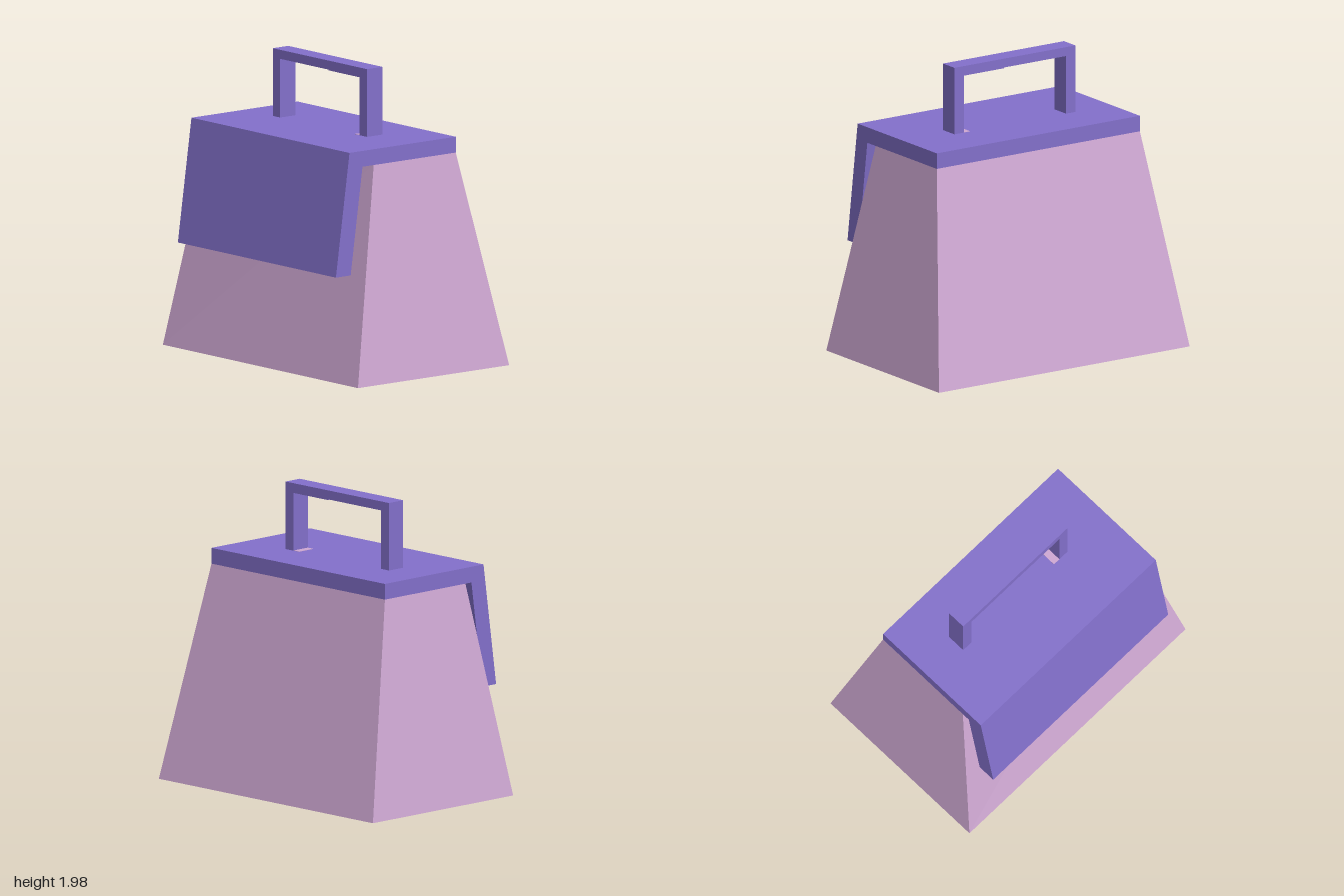
import * as THREE from 'three';

const pink = new THREE.MeshStandardMaterial({ color: 0xcfa8d3, flatShading: true });
const purple = new THREE.MeshStandardMaterial({ color: 0x8370cb, flatShading: true });

function part(name, geometry, material) {
  const mesh = new THREE.Mesh(geometry, material);
  mesh.name = name;
  return mesh;
}

// Straight extrusion of a polygon outline
function extrude(points, depth) {
  const shape = new THREE.Shape(points.map(([a, b]) => new THREE.Vector2(a, b)));
  return new THREE.ExtrudeGeometry(shape, { depth, bevelEnabled: false });
}

export function createModel() {
  const bag = new THREE.Group();
  bag.name = 'handbag';

  // Body: a box tapered toward the top, its front slightly twisted
  const height = 1.42;
  const body = new THREE.BoxGeometry(2, height, 2);
  const pos = body.attributes.position;
  for (let i = 0; i < pos.count; i++) {
    const x = pos.getX(i), top = pos.getY(i) > 0, front = pos.getZ(i) > 0;
    const topFront = x < 0 ? 0.375 : 0.335;
    const z = front ? (top ? topFront : 0.625) : (top ? -0.36 : -0.655);
    pos.setXYZ(i, x * (top ? 0.81 : 1), top ? height : 0, z);
  }
  body.computeVertexNormals();
  bag.add(part('body', body, pink));

  // Lid and front flap: one side profile (z, y) swept across the width
  const lid = extrude([
    [-0.36, 1.42], [0.43, 1.42], [0.53, 0.71],
    [0.655, 0.71], [0.54, 1.525], [-0.36, 1.525],
  ], 1.62);
  lid.rotateY(-Math.PI / 2).translate(0.81, 0, 0);
  bag.add(part('lidAndFlap', lid, purple));

  // Handle: square arch standing on the lid
  const handle = extrude([
    [-0.52, 1.52], [-0.445, 1.52], [-0.445, 1.915], [0.05, 1.915], [0.05, 1.91],
    [0.37, 1.91], [0.37, 1.52], [0.445, 1.52], [0.445, 1.975], [-0.52, 1.975],
  ], 0.13);
  handle.translate(0, 0, -0.04);
  bag.add(part('handle', handle, purple));

  // Small inlay beside the left handle post
  const inlay = new THREE.BoxGeometry(0.05, 0.01, 0.13);
  inlay.translate(0.345, 1.522, 0.025);
  bag.add(part('handleInlay', inlay, pink));

  return bag;
}
